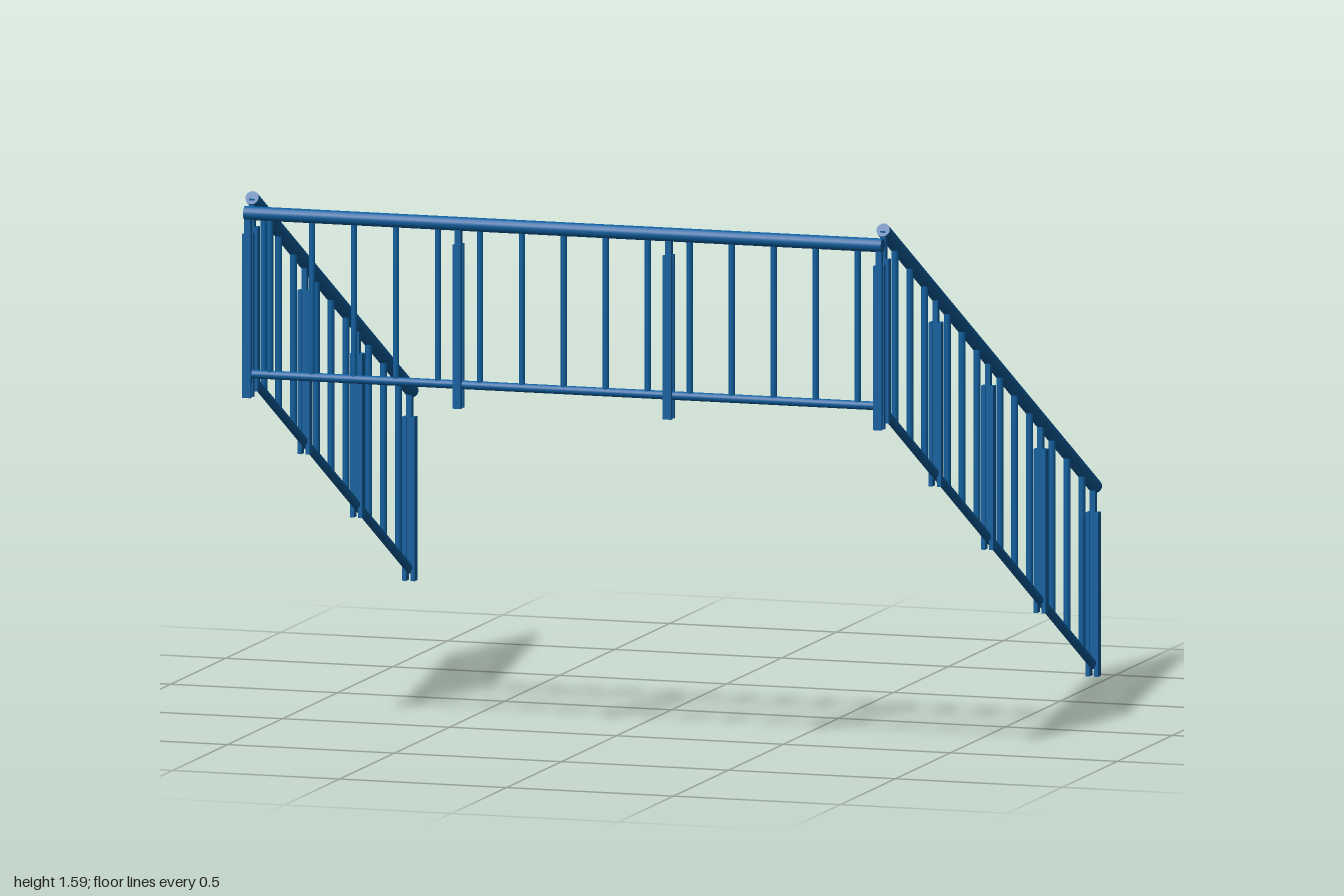
import * as THREE from 'three';

const blue = new THREE.MeshStandardMaterial({ color: 0x0b5f9f });
blue.name = 'paintedBlue';

const SLOPE = 0.532;
const LAST_Z = -0.965, FIRST_Z = 0.94;
const BAY = (FIRST_Z - LAST_Z) / 4;
const SIDE_X = 0.945, FRONT_Z = 0.98;

// round bar between two points
function bar(name, a, b, radius, sides = 16) {
  const dir = new THREE.Vector3().subVectors(b, a);
  const mesh = new THREE.Mesh(new THREE.CylinderGeometry(radius, radius, dir.length(), sides), blue);
  mesh.name = name;
  mesh.position.addVectors(a, b).multiplyScalar(0.5);
  mesh.quaternion.setFromUnitVectors(new THREE.Vector3(0, 1, 0), dir.normalize());
  return mesh;
}

// post: two flat plates clasping a narrow core that carries the handrail
function post(x, y, z, railY, turned) {
  const group = new THREE.Group();
  group.name = 'post';
  for (const s of [-1, 1]) {
    const plate = new THREE.Mesh(new THREE.BoxGeometry(0.025, 0.472, 0.012), blue);
    plate.name = 'postPlate';
    plate.position.set(0, 0.236, s * 0.0125);
    group.add(plate);
  }
  const coreHeight = railY - y - 0.04;
  const core = new THREE.Mesh(new THREE.BoxGeometry(0.018, coreHeight, 0.016), blue);
  core.name = 'postCore';
  core.position.y = 0.04 + coreHeight / 2;
  group.add(core);
  group.position.set(x, y, z);
  if (turned) group.rotation.y = Math.PI / 2;
  return group;
}

// level railing across the front
function frontRailing() {
  const group = new THREE.Group();
  group.name = 'frontRailing';
  const at = (x, y) => new THREE.Vector3(x, y, FRONT_Z - 0.002);
  group.add(bar('handrail', at(-0.955, 1.53), at(0.955, 1.53), 0.02));
  group.add(bar('bottomRail', at(-0.945, 1.067), at(0.945, 1.067), 0.0125));
  for (let i = 0; i < 4; i++) group.add(post(-SIDE_X + i * 0.63, 1, FRONT_Z, 1.53, false));
  for (let i = -7; i <= 7; i++) {
    group.add(bar('baluster', at(i * 0.1257, 1.067), at(i * 0.1257, 1.53), 0.0095, 8));
  }
  return group;
}

// sloping railing running down toward the back
function stairRailing(name, x, bays) {
  const group = new THREE.Group();
  group.name = name;
  const base = (z) => SLOPE * (z - LAST_Z);
  const top = (z) => base(z) + 0.553;
  const low = (z) => base(z) + 0.033;
  const at = (z, f) => new THREE.Vector3(x, f(z), z);
  const endZ = FIRST_Z - bays * BAY;
  group.add(bar('handrail', at(0.945, top), at(endZ - 0.02, top), 0.02));
  group.add(bar('bottomRail', at(0.945, low), at(endZ - 0.003, low), 0.0125));
  for (let i = 0; i <= bays; i++) {
    const z = FIRST_Z - i * BAY;
    group.add(post(x, base(z), z, top(z), true));
    if (i === bays) break;
    // three balusters in each bay
    for (const offset of [-0.135, 0, 0.135]) {
      const bz = z - BAY / 2 + offset;
      group.add(bar('baluster', at(bz, low), at(bz, top), 0.0105, 8));
    }
  }
  return group;
}

export function createModel() {
  const model = new THREE.Group();
  model.name = 'stairRailings';
  model.add(frontRailing());
  model.add(stairRailing('leftStairRailing', SIDE_X, 4));
  model.add(stairRailing('rightStairRailing', -SIDE_X, 3));
  return model;
}
